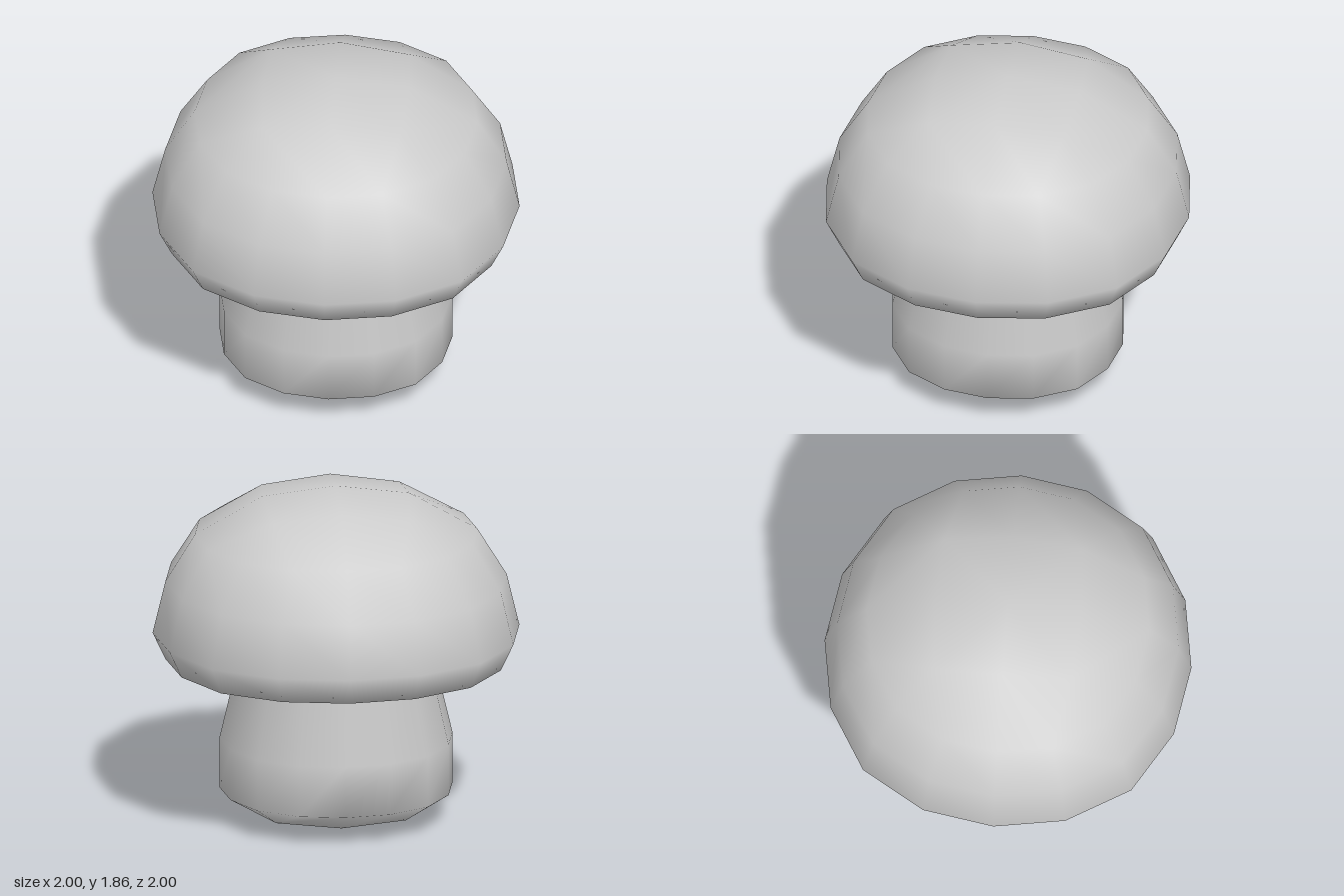
import * as THREE from 'three';

const SIDES = 16;
// slightly squared circle: on-axis, between, diagonal
const BULGE = [1, 1.013, 1.034, 1.013];

// Smooth rounded body: a 4x4 quad grid closes one end, then rings of 16 follow.
// tip: y of the pole; axis / corner: [distance, y] of the inner grid points;
// rings: [radius, y] from the closed end onward; up: closed end is on top.
function roundedBody(name, { tip, axis, corner, rings, up }) {
  const pos = [0, tip, 0];
  const index = [];
  const quad = (a, b, c, d) => up
    ? index.push(a, b, c, a, c, d)
    : index.push(a, c, b, a, d, c);

  for (let k = 0; k < 8; k++) {
    const [r, y] = k % 2 ? corner : axis;
    const t = k * Math.PI / 4;
    pos.push(r * Math.cos(t), y, -r * Math.sin(t));
  }
  rings.forEach(([r, y]) => {
    for (let k = 0; k < SIDES; k++) {
      const t = k * 2 * Math.PI / SIDES;
      const q = r * BULGE[k % 4];
      pos.push(q * Math.cos(t), y, -q * Math.sin(t));
    }
  });

  const inner = k => 1 + k % 8;
  const ring = (j, k) => 9 + j * SIDES + k % SIDES;

  // closing grid, one quarter at a time
  for (let q = 0; q < 4; q++) {
    const a = inner(2 * q), b = inner(2 * q + 1), c = inner(2 * q + 2);
    const o = k => ring(0, 4 * q + k);
    quad(0, a, b, c);
    quad(a, o(0), o(1), b);
    quad(b, o(1), o(2), o(3));
    quad(b, o(3), o(4), c);
  }
  // side walls
  for (let j = 0; j < rings.length - 1; j++) {
    for (let k = 0; k < SIDES; k++) {
      quad(ring(j, k), ring(j + 1, k), ring(j + 1, k + 1), ring(j, k + 1));
    }
  }

  const geometry = new THREE.BufferGeometry();
  geometry.setAttribute('position', new THREE.Float32BufferAttribute(pos, 3));
  geometry.setIndex(index);
  geometry.computeVertexNormals();
  const mesh = new THREE.Mesh(geometry, new THREE.MeshStandardMaterial({
    color: 0xcccccc, side: THREE.DoubleSide,
  }));
  mesh.name = name;
  return mesh;
}

export function createModel() {
  const group = new THREE.Group();
  group.name = 'mushroom';

  // domed cap with a rim that turns under into a hollow
  group.add(roundedBody('cap', {
    up: true,
    tip: 1.86,
    axis: [0.4, 1.81],
    corner: [0.53, 1.765],
    rings: [
      [0.77, 1.6], [0.93, 1.34], [1, 1.05], [0.93, 0.9],
      [0.84, 1.06], [0.5, 1.14],
    ],
  }));

  // stout stem with a rounded foot, its top sunk into the cap
  group.add(roundedBody('stem', {
    up: false,
    tip: 0,
    axis: [0.38, 0.03],
    corner: [0.5, 0.06],
    rings: [[0.635, 0.165], [0.635, 0.45], [0.555, 0.79], [0.55, 1.15]],
  }));

  return group;
}
